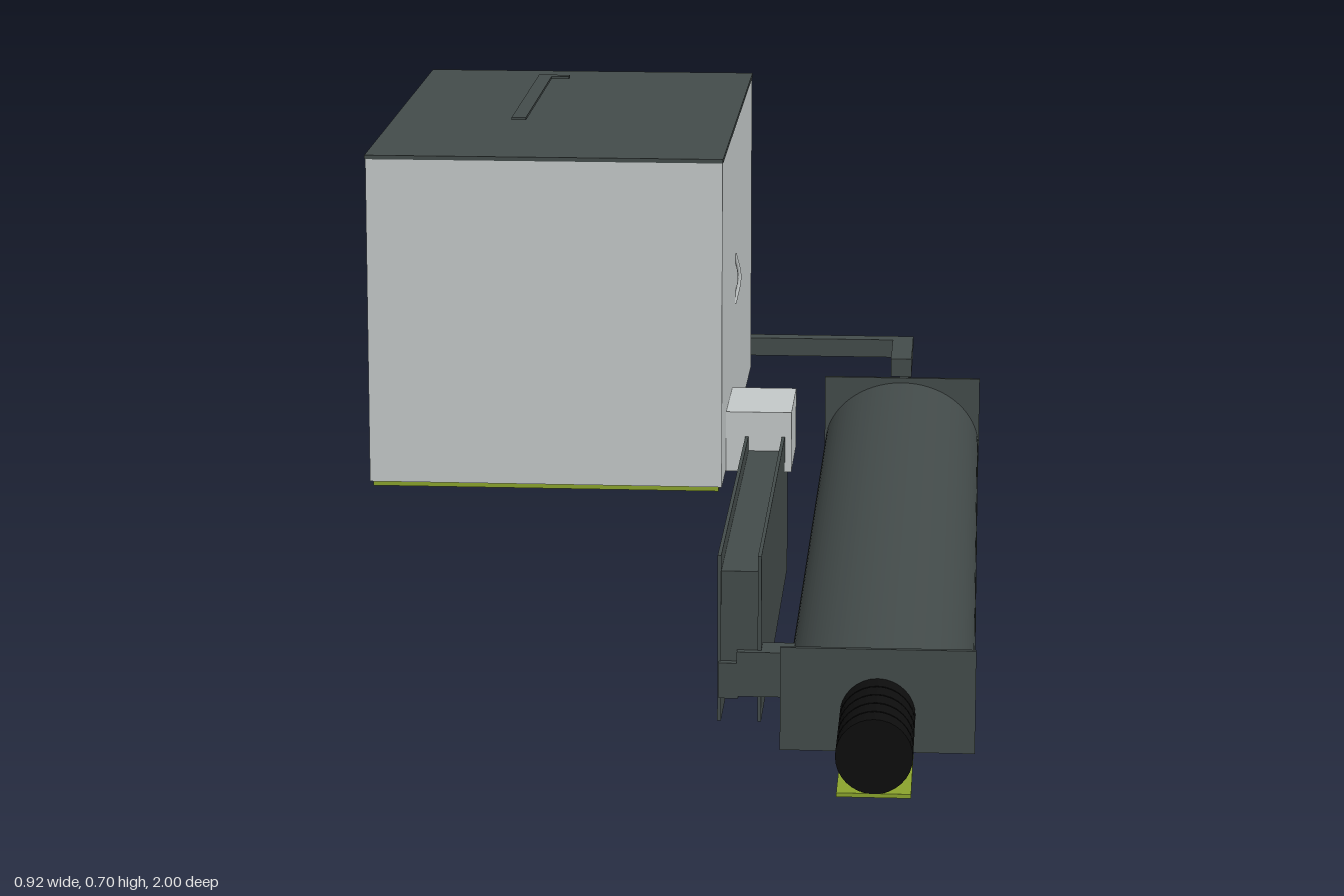
import * as THREE from 'three';

const mat = (name, color) => {
  const m = new THREE.MeshStandardMaterial({ color });
  m.name = name;
  return m;
};

export function createModel() {
  const root = new THREE.Group();
  const dark = mat('dark grey', 0x434b4a);
  const light = mat('light grey', 0xc3c8c8);
  const olive = mat('olive green', 0x8aa32c);
  const black = mat('black', 0x0d0d0d);

  const add = (name, geo, material, x = 0, y = 0, z = 0) => {
    const mesh = new THREE.Mesh(geo, material);
    mesh.name = name;
    mesh.position.set(x, y, z);
    root.add(mesh);
    return mesh;
  };
  // Box given by its lower and upper limits on each axis
  const box = (name, material, [x0, x1], [y0, y1], [z0, z1]) =>
    add(name, new THREE.BoxGeometry(x1 - x0, y1 - y0, z1 - z0), material,
      (x0 + x1) / 2, (y0 + y1) / 2, (z0 + z1) / 2);
  // Thin curved wire through a few points
  const wire = (name, material, points) => {
    const curve = new THREE.CatmullRomCurve3(points.map(p => new THREE.Vector3(...p)));
    return add(name, new THREE.TubeGeometry(curve, 12, 0.003, 6), material);
  };

  // Large case with lid and coloured base
  box('caseBody', light, [-0.452, 0.076], [0.182, 0.672], [-0.79, 0.03]);
  box('caseLid', dark, [-0.453, 0.077], [0.672, 0.678], [-0.792, 0.032]);
  box('caseBase', olive, [-0.447, 0.071], [0.175, 0.182], [-0.787, 0.027]);

  // Hooked strip above the lid
  const hook = new THREE.Shape([[-0.258, 0.19], [-0.258, 0.61], [-0.208, 0.61],
    [-0.208, 0.592], [-0.236, 0.592], [-0.236, 0.19]].map(p => new THREE.Vector2(...p)));
  const hookGeo = new THREE.ExtrudeGeometry(hook, { depth: 0.004, bevelEnabled: false });
  hookGeo.rotateX(-Math.PI / 2);
  add('lidStrip', hookGeo, dark, 0, 0.696, 0);

  // Small curved grips on the case sides
  wire('leftGrip', light, [[0.075, 0.39, -0.315], [0.082, 0.43, -0.326], [0.075, 0.47, -0.315]]);
  wire('rightGripUpper', dark, [[-0.452, 0.40, -0.52], [-0.459, 0.428, -0.46], [-0.452, 0.42, -0.39]]);
  wire('rightGripLower', light, [[-0.452, 0.36, -0.68], [-0.459, 0.38, -0.62], [-0.452, 0.385, -0.56]]);

  // Coupling block between case and channel
  box('couplingBlock', light, [0.07, 0.175], [0.18, 0.272], [-0.245, -0.08]);

  // Upright channel: two thin walls around a core, and its front link
  box('channelWallRight', dark, [0.105, 0.11], [0, 0.234], [-0.185, 0.612]);
  box('channelWallLeft', dark, [0.16, 0.165], [0, 0.234], [-0.185, 0.612]);
  box('channelCore', dark, [0.11, 0.16], [0.035, 0.212], [-0.185, 0.61]);
  box('channelLink', dark, [0.132, 0.21], [0.038, 0.101], [0.572, 0.622]);
  box('channelLinkEnd', dark, [0.107, 0.134], [0.035, 0.085], [0.572, 0.622]);

  // Long housing with an arched top
  const arch = new THREE.Shape();
  arch.moveTo(-0.128, 0.026);
  arch.lineTo(0.128, 0.026);
  arch.lineTo(0.128, 0.05);
  arch.absellipse(0, 0.05, 0.128, 0.107, 0, Math.PI, false);
  arch.lineTo(-0.128, 0.026);
  const archGeo = new THREE.ExtrudeGeometry(arch,
    { depth: 1.605, bevelEnabled: false, curveSegments: 32 });
  add('housing', archGeo, dark, 0.329, 0, -0.798);
  for (const [name, z] of [['front', 0.807], ['back', -0.806]])
    box(name + 'EndPlate', dark, [0.2, 0.458], [0.024, 0.165], [z, z + 0.007]);

  // Coloured sole strip and a small hook below it
  box('soleStrip', olive, [0.281, 0.377], [0.02, 0.0255], [-0.985, 0.995]);
  wire('soleHook', black, [[0.314, 0.009, -0.09], [0.319, 0.018, -0.09], [0.327, 0.016, -0.09],
    [0.331, 0.011, -0.09]]);

  // Ribbed black stubs at both ends
  const core = new THREE.CylinderGeometry(0.047, 0.047, 0.18, 32).rotateX(Math.PI / 2);
  const rib = new THREE.CylinderGeometry(0.05, 0.05, 0.034, 32).rotateX(Math.PI / 2);
  for (const [name, start, dir] of [['front', 0.814, 1], ['back', -0.806, -1]]) {
    add(name + 'StubCore', core, black, 0.329, 0.075, start + dir * 0.09);
    for (let i = 0; i < 5; i++)
      add(name + 'StubRib', rib, black, 0.329, 0.075, start + dir * (0.017 + i * 0.037));
  }

  // Rear linkage: cross bar, arms, tail and upright tab
  const barY = [0.184, 0.214];
  box('rearCrossBar', dark, [-0.36, 0.345], barY, [-0.902, -0.872]);
  box('rearRightArm', dark, [-0.36, -0.33], barY, [-0.872, -0.79]);
  box('rearLeftArm', dark, [0.311, 0.345], barY, [-0.872, -0.725]);
  box('rearTail', dark, [-0.206, -0.174], barY, [-1, -0.902]);
  box('rearUpright', dark, [-0.36, -0.33], [0.184, 0.345], [-0.865, -0.793]);

  return root;
}
